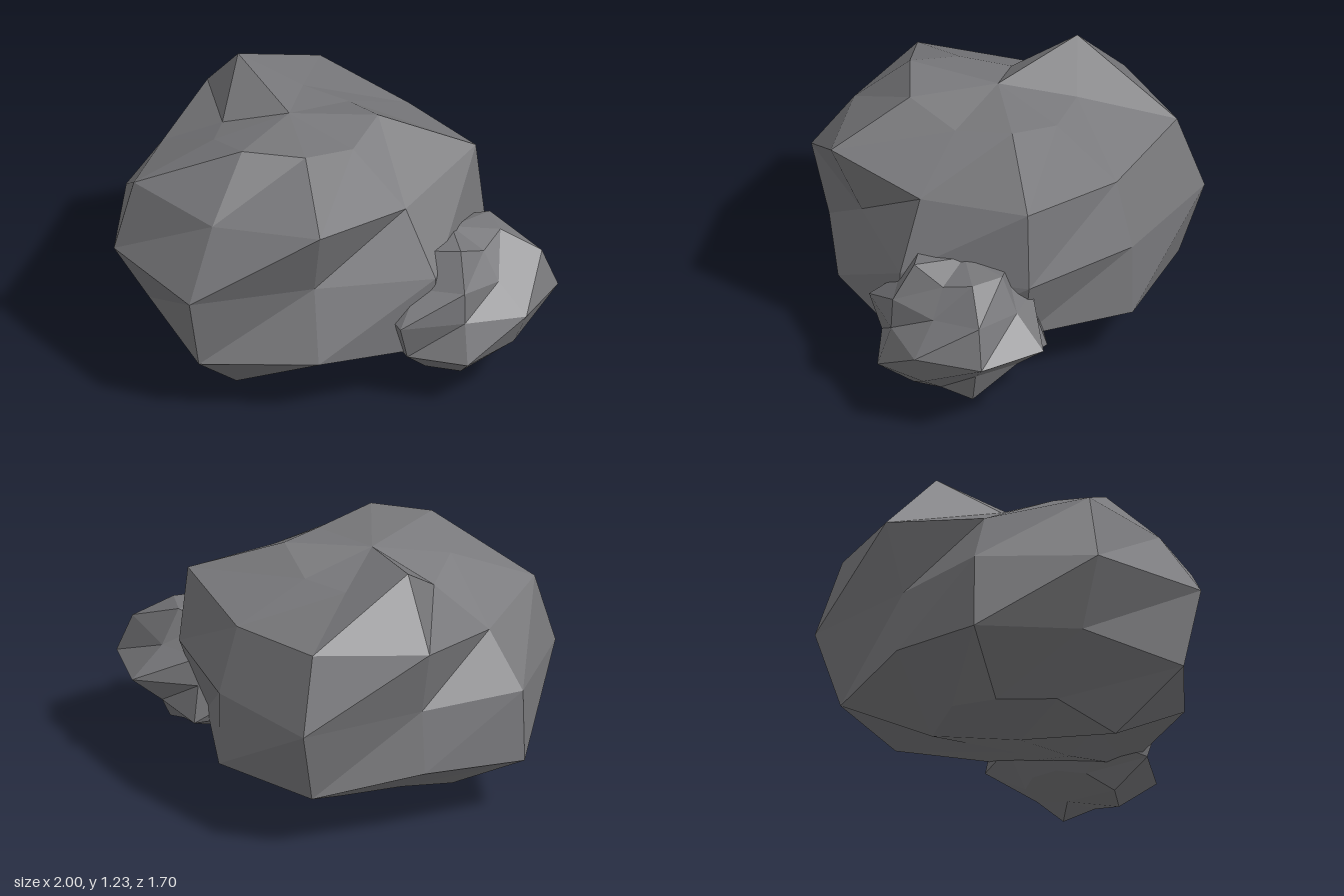
import * as THREE from 'three';

const SIDES = 9;
const FLATTEN = 0.76;

// A lumpy, flattened globe: each number is how far one vertex is pushed out.
// Rings run from top to bottom; columns start at +x and turn towards +z.
function makeRock(name, centre, top, rings, bottom, material) {
  const point = (radius, ring, side) => {
    const tilt = (ring * Math.PI) / (rings.length + 1);
    const turn = (side * 2 * Math.PI) / SIDES;
    return [
      centre[0] + radius * Math.sin(tilt) * Math.cos(turn),
      centre[1] + radius * Math.cos(tilt) * FLATTEN,
      centre[2] + radius * Math.sin(tilt) * Math.sin(turn),
    ];
  };

  const positions = [...point(top, 0, 0)];
  rings.forEach((row, i) => row.forEach((r, j) => positions.push(...point(r, i + 1, j))));
  positions.push(...point(bottom, rings.length + 1, 0));

  const last = positions.length / 3 - 1;
  const at = (i, j) => 1 + i * SIDES + (j % SIDES);
  const index = [];
  for (let j = 0; j < SIDES; j++) {
    index.push(0, at(0, j + 1), at(0, j));
    for (let i = 0; i < rings.length - 1; i++) {
      const a = at(i, j), b = at(i, j + 1), c = at(i + 1, j), d = at(i + 1, j + 1);
      index.push(a, b, d, a, d, c);
    }
    index.push(last, at(rings.length - 1, j), at(rings.length - 1, j + 1));
  }

  const indexed = new THREE.BufferGeometry();
  indexed.setAttribute('position', new THREE.Float32BufferAttribute(positions, 3));
  indexed.setIndex(index);
  // Separate faces give hard facets
  const geometry = indexed.toNonIndexed();
  geometry.computeVertexNormals();
  const mesh = new THREE.Mesh(geometry, material);
  mesh.name = name;
  return mesh;
}

export function createModel() {
  const model = new THREE.Group();
  model.name = 'rocks';
  const stone = new THREE.MeshStandardMaterial({ color: 0x78787b });
  stone.name = 'grey stone';
  stone.flatShading = true;

  // Boulder
  model.add(makeRock('largeRock', [-0.21, 0.63, 0.065], 0.705, [
    [0.80, 0.75, 0.84, 0.85, 0.72, 0.64, 0.92, 0.71, 0.70],
    [0.97, 0.79, 0.92, 0.80, 0.86, 0.70, 0.85, 0.93, 0.815],
    [0.88, 0.86, 0.65, 0.90, 0.84, 0.78, 0.64, 0.93, 0.80],
    [0.87, 0.97, 0.88, 0.94, 0.775, 0.91, 0.78, 0.94, 0.925],
    [0.70, 0.757, 0.70, 0.95, 0.80, 0.83, 0.75, 0.80, 0.70],
  ], 0.74, stone));

  // Small stone leaning on its front left
  model.add(makeRock('smallRock', [0.52, 0.43, 0.335], 0.40, [
    [0.44, 0.38, 0.48, 0.44, 0.40, 0.38, 0.38, 0.38, 0.45],
    [0.47, 0.32, 0.395, 0.36, 0.34, 0.38, 0.36, 0.35, 0.36],
    [0.48, 0.44, 0.35, 0.46, 0.38, 0.38, 0.38, 0.32, 0.47],
    [0.36, 0.42, 0.48, 0.46, 0.40, 0.38, 0.38, 0.43, 0.36],
    [0.47, 0.42, 0.48, 0.47, 0.40, 0.38, 0.38, 0.38, 0.39],
  ], 0.42, stone));

  return model;
}
